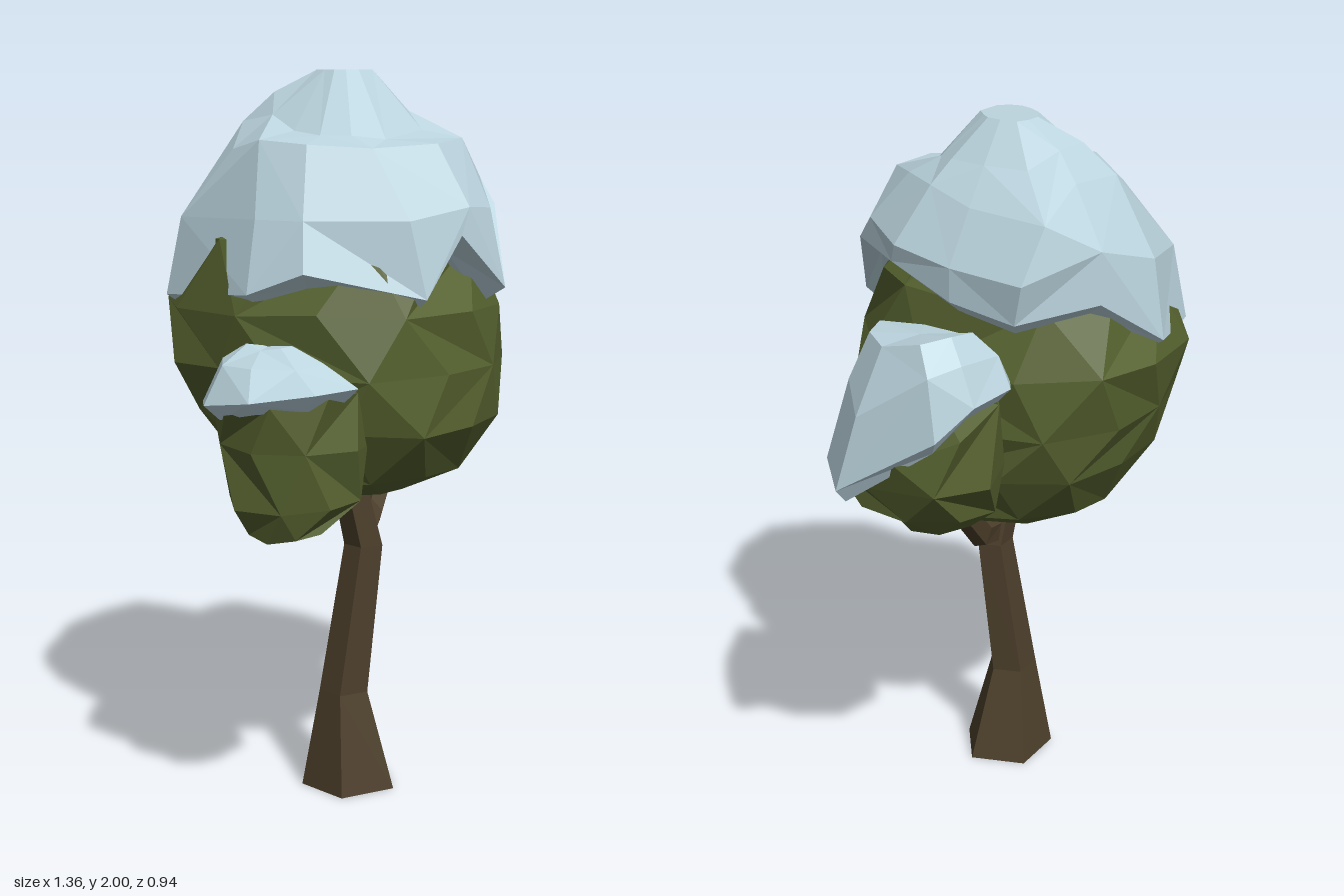
import * as THREE from 'three';

const bark = new THREE.MeshStandardMaterial({ color: 0x4d3f2b });
const leaves = new THREE.MeshStandardMaterial({ color: 0x56622f });
const snow = new THREE.MeshStandardMaterial({ color: 0xbcd5df });
bark.name = 'bark';
leaves.name = 'leaves';
snow.name = 'snow';

// Small seeded random in -1..1
function seeded(seed) {
  let s = seed;
  return () => {
    s = (s * 16807) % 2147483647;
    return (s / 2147483647) * 2 - 1;
  };
}

// Faceted skin through rings of equal length, listed bottom to top, with closed ends
function loft(rings) {
  const pos = [];
  const tri = (...pts) => pts.forEach((p) => pos.push(p.x, p.y, p.z));
  const middle = (ring) =>
    ring.reduce((sum, p) => sum.add(p), new THREE.Vector3()).divideScalar(ring.length);
  const n = rings[0].length;
  const last = rings[rings.length - 1];
  const bottom = middle(rings[0]);
  const top = middle(last);
  for (let j = 0; j < n; j++) {
    const k = (j + 1) % n;
    tri(bottom, rings[0][k], rings[0][j]);
    for (let i = 0; i < rings.length - 1; i++) {
      const a = rings[i][j], b = rings[i][k], c = rings[i + 1][k], d = rings[i + 1][j];
      if ((i + j) % 2) {
        tri(a, b, c);
        tri(a, c, d);
      } else {
        tri(a, b, d);
        tri(b, c, d);
      }
    }
    tri(top, last[j], last[k]);
  }
  const geo = new THREE.BufferGeometry();
  geo.setAttribute('position', new THREE.Float32BufferAttribute(pos, 3));
  geo.computeVertexNormals();
  return geo;
}

// Rings from rows of [y, centreX, centreZ, radiusX, radiusZ, tiltX, tiltZ, cornerFullness]
function ellipses(rows, sides, { jitter = 0, seed = 7, twist = 0, start = 0 } = {}) {
  const rnd = seeded(seed);
  return rows.map(([y, cx, cz, rx, rz, tx = 0, tz = 0, corner = 0], i) =>
    Array.from({ length: sides }, (_, j) => {
      const a = ((j + start + (i % 2) * twist + rnd() * jitter * 4) / sides) * Math.PI * 2;
      const f = 1 + corner * Math.sin(2 * a) ** 2 + rnd() * jitter;
      const dx = Math.sin(a) * rx * f;
      const dz = Math.cos(a) * rz * f;
      return new THREE.Vector3(cx + dx, y + tx * dx + tz * dz + rnd() * jitter * 0.4, cz + dz);
    }));
}

const points = (list) => list.map(([x, y, z]) => new THREE.Vector3(x, y, z));

// Shrink a ring towards an axis and change its height
const shrink = (ring, k, x, z, height) =>
  ring.map((p) => new THREE.Vector3(x + (p.x - x) * k, height(p.y), z + (p.z - z) * k));

// Large snow cap: jagged lower edge, belly, shoulder, inner ledge, small flat peak
function crownSnowRings() {
  const edge = points([
    [-0.25, 1.42, 0.42], [-0.15, 1.58, 0.46], [0.05, 1.43, 0.47], [0.2, 1.64, 0.34],
    [0.31, 1.64, 0.12], [0.33, 1.58, -0.1], [0.3, 1.55, -0.29], [0.1, 1.58, -0.41],
    [-0.11, 1.44, -0.46], [-0.4, 1.4, -0.33], [-0.5, 1.43, 0.03], [-0.47, 1.49, 0.19],
  ]);
  const belly = points([
    [-0.27, 1.62, 0.38], [-0.1, 1.65, 0.45], [0.05, 1.64, 0.42], [0.22, 1.71, 0.28],
    [0.32, 1.69, 0.1], [0.33, 1.67, -0.1], [0.31, 1.66, -0.32], [0.1, 1.72, -0.41],
    [-0.1, 1.66, -0.43], [-0.37, 1.61, -0.3], [-0.45, 1.62, 0.02], [-0.43, 1.62, 0.16],
  ]);
  const shoulder = points([
    [-0.25, 1.8, 0.25], [-0.1, 1.81, 0.35], [0.08, 1.82, 0.31], [0.17, 1.84, 0.18],
    [0.23, 1.84, 0.05], [0.25, 1.81, -0.1], [0.23, 1.8, -0.33], [0.07, 1.87, -0.3],
    [-0.1, 1.86, -0.3], [-0.28, 1.79, -0.19], [-0.38, 1.82, -0.02], [-0.36, 1.81, 0.12],
  ]);
  const ledge = points([
    [-0.22, 1.83, 0.16], [-0.15, 1.82, 0.22], [0.05, 1.84, 0.2], [0.13, 1.89, 0.1],
    [0.17, 1.9, 0.03], [0.17, 1.9, -0.08], [0.14, 1.9, -0.2], [0.05, 1.94, -0.23],
    [-0.06, 1.94, -0.22], [-0.17, 1.88, -0.14], [-0.23, 1.84, -0.02], [-0.25, 1.83, 0.08],
  ]);
  return [
    shrink(edge, 0.87, -0.08, 0, (y) => y - 0.04),
    edge, belly, shoulder, ledge,
    shrink(ledge, 0.38, 0.03, -0.05, () => 2),
  ];
}

// Snow on the left tuft: edge hangs lowest at the outer tip and rises to the back
function leftTuftSnowRings() {
  const edge = points([
    [0.42, 1.28, 0.16], [0.59, 1.18, 0.1], [0.68, 1.15, -0.02], [0.59, 1.32, -0.28],
    [0.5, 1.4, -0.33], [0.36, 1.41, -0.33], [0.28, 1.39, -0.26], [0.29, 1.35, -0.02],
  ]);
  const belly = points([
    [0.42, 1.42, 0.13], [0.55, 1.4, 0.05], [0.64, 1.35, -0.06], [0.58, 1.48, -0.25],
    [0.5, 1.5, -0.29], [0.36, 1.49, -0.29], [0.31, 1.47, -0.22], [0.32, 1.45, -0.02],
  ]);
  const crest = points([
    [0.42, 1.52, 0.06], [0.5, 1.52, 0.02], [0.56, 1.52, -0.08], [0.55, 1.55, -0.2],
    [0.48, 1.56, -0.24], [0.4, 1.55, -0.24], [0.36, 1.52, -0.18], [0.37, 1.52, -0.05],
  ]);
  return [shrink(edge, 0.88, 0.46, -0.09, (y) => y - 0.035), edge, belly, crest];
}

export function createModel() {
  const tree = new THREE.Group();
  tree.name = 'snowyTree';
  const add = (name, rings, material) => {
    const mesh = new THREE.Mesh(loft(rings), material);
    mesh.name = name;
    tree.add(mesh);
  };

  // Five-sided trunk with flared foot, and a forked branch
  add('trunk', ellipses([
    [0, -0.099, 0.068, 0.141, 0.136],
    [0.28, -0.116, 0.062, 0.075, 0.07],
    [0.7, -0.073, 0.098, 0.058, 0.056],
    [0.88, -0.114, 0.08, 0.053, 0.05],
    [1.1, -0.13, 0.07, 0.04, 0.04],
  ], 5, { start: 0.125 }), bark);
  add('branch', ellipses([
    [0.74, -0.06, 0.09, 0.011, 0.04, -4],
    [0.77, 0.035, 0.05, 0.021, 0.034, -1.8],
    [0.98, 0.23, 0, 0.026, 0.032, -1],
    [1.08, 0.33, -0.03, 0.02, 0.025, -1],
  ], 5), bark);

  // Main crown
  add('crown', ellipses([
    [0.865, -0.04, 0.03, 0.17, 0.18],
    [0.925, -0.06, 0.04, 0.3, 0.32],
    [1.07, -0.07, 0.04, 0.37, 0.41, 0, 0, 0.07],
    [1.22, -0.08, 0.02, 0.405, 0.435, 0, 0, 0.09],
    [1.38, -0.085, -0.01, 0.405, 0.46, 0, 0, 0.04],
    [1.56, -0.08, 0, 0.365, 0.4],
    [1.7, -0.06, 0, 0.2, 0.22],
  ], 12, { jitter: 0.02, seed: 31, twist: 0.5 }), leaves);
  add('crownSnow', crownSnowRings(), snow);

  // Left side tuft
  add('leftTuft', ellipses([
    [0.97, 0.34, -0.06, 0.11, 0.11],
    [1.03, 0.38, -0.06, 0.19, 0.19, 0.15],
    [1.15, 0.42, -0.07, 0.2, 0.24],
    [1.28, 0.44, -0.085, 0.195, 0.23, -0.35, -0.25],
    [1.41, 0.44, -0.12, 0.13, 0.16, -0.3, -0.2],
  ], 8, { jitter: 0.015, seed: 12, twist: 0.5 }), leaves);
  add('leftTuftSnow', leftTuftSnowRings(), snow);

  // Right side tuft
  add('rightTuft', ellipses([
    [0.84, -0.5, 0.16, 0.09, 0.11, 0.3],
    [0.91, -0.455, 0.15, 0.17, 0.18, 0.1],
    [1.05, -0.46, 0.15, 0.18, 0.2],
    [1.16, -0.48, 0.14, 0.17, 0.2, 0, 0.2],
    [1.22, -0.48, 0.12, 0.08, 0.1],
  ], 8, { jitter: 0.015, seed: 44, twist: 0.5 }), leaves);
  add('rightTuftSnow', ellipses([
    [1.145, -0.49, 0.135, 0.155, 0.19, 0, 0.15],
    [1.175, -0.5, 0.135, 0.182, 0.225, 0, 0.15],
    [1.26, -0.485, 0.1, 0.12, 0.15],
    [1.3, -0.47, 0.08, 0.05, 0.07],
  ], 8, { jitter: 0.02, seed: 9, start: 0.25 }), snow);

  return tree;
}
